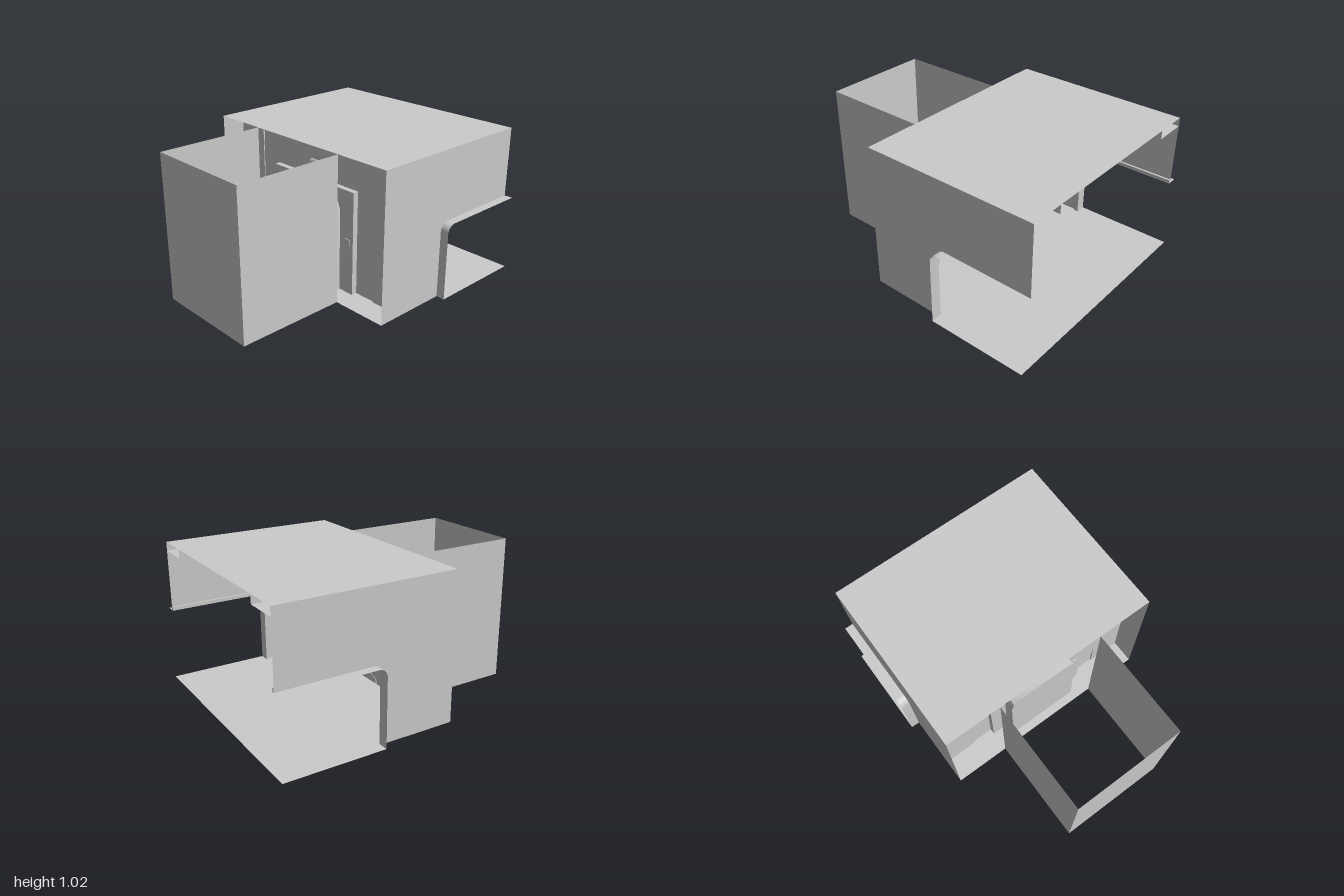
import * as THREE from 'three';
import { toCreasedNormals } from 'three/addons/utils/BufferGeometryUtils.js';

const mat = new THREE.MeshStandardMaterial({ color: 0xcccccc, side: THREE.DoubleSide });

export function createModel() {
  const root = new THREE.Group();

  const add = (name, geo) => {
    const mesh = new THREE.Mesh(geo, mat);
    mesh.name = name;
    root.add(mesh);
    return mesh;
  };

  // Sheet swept straight along 'z' (points are x,y) or along 'x' (points are z,y)
  const ribbon = (name, pts, axis, from, to) => {
    const at = ([a, b], s) => (axis === 'z' ? [a, b, s] : [s, b, a]);
    const pos = [];
    for (let i = 0; i < pts.length - 1; i++) {
      const [a, b, c, d] = [at(pts[i], from), at(pts[i + 1], from), at(pts[i + 1], to), at(pts[i], to)];
      pos.push(...a, ...b, ...c, ...a, ...c, ...d);
    }
    const geo = new THREE.BufferGeometry();
    geo.setAttribute('position', new THREE.Float32BufferAttribute(pos, 3));
    return add(name, toCreasedNormals(geo, 0.6));
  };

  const arc = (cx, cy, r, a0, a1, n = 10) => Array.from({ length: n + 1 }, (_, i) => {
    const a = a0 + (a1 - a0) * i / n;
    return [cx + r * Math.cos(a), cy + r * Math.sin(a)];
  });
  const shapeOf = (pts) => new THREE.Shape(pts.map(([x, y]) => new THREE.Vector2(x, y)));
  const extrude = (shape, depth, bevel = 0) => new THREE.ExtrudeGeometry(shape, {
    depth, curveSegments: 10, bevelEnabled: bevel > 0, bevelSize: bevel, bevelThickness: bevel, bevelSegments: 2,
  });
  // Turns a drawing made in (-z, y) to face +x at the given x
  const faceX = (geo, x) => geo.rotateY(Math.PI / 2).translate(x, 0, 0);
  const flipped = (pts) => pts.map(([z, y]) => [-z, y]);
  const pill = (cz, cy, w, h, r) => {
    const x = w / 2 - r, y = h / 2 - r, q = Math.PI / 2;
    return [[x, y, 0], [-x, y, 1], [-x, -y, 2], [x, -y, 3]]
      .flatMap(([dx, dy, k]) => arc(-cz + dx, cy + dy, r, k * q, (k + 1) * q, 6));
  };

  const H = 1.02, W = 0.78, BACK = -0.24, WALL = -0.06, FRAME = -0.10, DOOR = -0.16;

  // Outer shell: floor, roof and side walls with a rounded cut-out
  const floor = shapeOf([[BACK, -W], [0.3, -W], [0.3, -0.84], [1, -0.84], [1, 0.84], [0.3, 0.84], [0.3, W], [BACK, W]]);
  add('floor', new THREE.ShapeGeometry(floor).rotateX(-Math.PI / 2));
  ribbon('roof', [[BACK, H], [1, H]], 'z', -W, W);

  const cutout = [[1, 0.53], ...arc(0.36, 0.47, 0.06, Math.PI / 2, Math.PI), [0.3, 0]];
  const cutoutOuter = [[0.275, 0], ...arc(0.36, 0.47, 0.085, Math.PI, Math.PI / 2), [1, 0.555]];
  const sideWall = shapeOf([...cutout, [BACK, 0], [BACK, H], [1, H]]);
  const alcoveLow = [...arc(0.075, 0.155, 0.145, Math.PI, Math.PI * 1.5), [0.075, 0], [-0.07, 0]];
  const alcoveHigh = [...arc(0.075, 0.81, 0.145, Math.PI, Math.PI / 2), [0.075, 0.96], [-0.07, 0.96]];

  for (const s of [1, -1]) {
    add('sideWall', new THREE.ShapeGeometry(sideWall)).position.z = s * W;
    ribbon('windowReveal', cutout, 'z', s * 0.765, s * 0.84);
    add('windowTrim', extrude(shapeOf([...cutout, ...cutoutOuter]), 0.015)).position.z = s > 0 ? 0.765 : -W;

    // Lowered ceiling edge above each side alcove
    ribbon('soffit', [[s * 0.545, H], [s * 0.545, 0.96], [s * W, 0.96]], 'x', WALL, 1);

    // Alcove with coved top and bottom
    const z0 = s > 0 ? 0.545 : -W;
    ribbon('alcoveBack', [[-0.07, 0], [-0.07, 0.96]], 'z', s * 0.545, s * W);
    for (const p of [alcoveLow, alcoveHigh])
      add('alcoveCove', toCreasedNormals(extrude(shapeOf(p), W - 0.545), 0.6)).position.z = z0;
  }

  // Rear wall with the doorway opening
  const tunnel = [[-0.385, 0], [-0.385, 0.73], [0.385, 0.73], [0.385, 0]];
  const doorway = [[-0.265, 0], [-0.265, 0.58], [-0.245, 0.63], [-0.19, 0.66],
    [0.19, 0.66], [0.245, 0.63], [0.265, 0.58], [0.265, 0]];
  const rearWall = shapeOf([[-0.55, 0], ...tunnel, [0.55, 0], [0.55, H], [-0.55, H]]);
  add('rearWall', faceX(new THREE.ShapeGeometry(rearWall), WALL));
  ribbon('doorwayReveal', tunnel, 'x', WALL, FRAME);
  const frame = shapeOf([[-0.385, 0], ...doorway, [0.385, 0], [0.385, 0.73], [-0.385, 0.73]]);
  add('doorFrame', faceX(new THREE.ShapeGeometry(frame), FRAME));
  ribbon('doorReveal', doorway, 'x', FRAME, DOOR - 0.02);
  add('doorBacking', faceX(new THREE.ShapeGeometry(shapeOf(doorway)), DOOR - 0.02));

  // Two door leaves meeting along a toothed seam
  const seam = [[0.055, 0.66], [0.055, 0.61], [-0.05, 0.575], [-0.05, 0.475], [0.055, 0.44], [0.055, 0.34],
    [-0.05, 0.305], [-0.05, 0.21], [0.055, 0.17], [0.055, 0.07], [-0.05, 0.035], [-0.05, 0]];
  for (const s of [1, -1]) {
    const edge = seam.map(([z, y]) => [z + s * 0.006, y]);
    const jamb = doorway.slice(0, 4).map(([z, y]) => [-s * z, y]);
    add('doorLeaf', faceX(extrude(shapeOf(flipped([...edge, ...jamb])), 0.018), DOOR - 0.018));
  }

  // Oval lamp over the door
  const ring = shapeOf(pill(0, 0.81, 0.18, 0.09, 0.045));
  ring.holes.push(shapeOf(pill(0, 0.81, 0.16, 0.074, 0.037)));
  add('lampRim', faceX(extrude(ring, 0.008), WALL));
  const lamp = new THREE.CapsuleGeometry(0.036, 0.086, 6, 16).rotateX(Math.PI / 2).scale(0.5, 1, 1);
  add('lamp', lamp.translate(WALL, 0.81, 0));

  // Keypad beside the door
  add('keypad', faceX(extrude(shapeOf(pill(0.328, 0.345, 0.052, 0.092, 0.014)), 0.008, 0.004), FRAME));
  for (const y of [0.335, 0.365]) {
    const button = new THREE.CylinderGeometry(0.008, 0.008, 0.006, 16).rotateZ(Math.PI / 2);
    add('keypadButton', button.translate(FRAME + 0.014, y, 0.328));
  }

  // Back room: three walls, open above and below
  for (const z of [0.385, -0.385])
    ribbon('backRoomSide', [[-1, 0], [-1, H]], 'z', z, z).geometry =
      new THREE.PlaneGeometry(1 + BACK, H).translate((BACK - 1) / 2, H / 2, z);
  ribbon('backRoomEnd', [[-1, 0], [-1, H]], 'z', -0.385, 0.385);

  return root;
}
